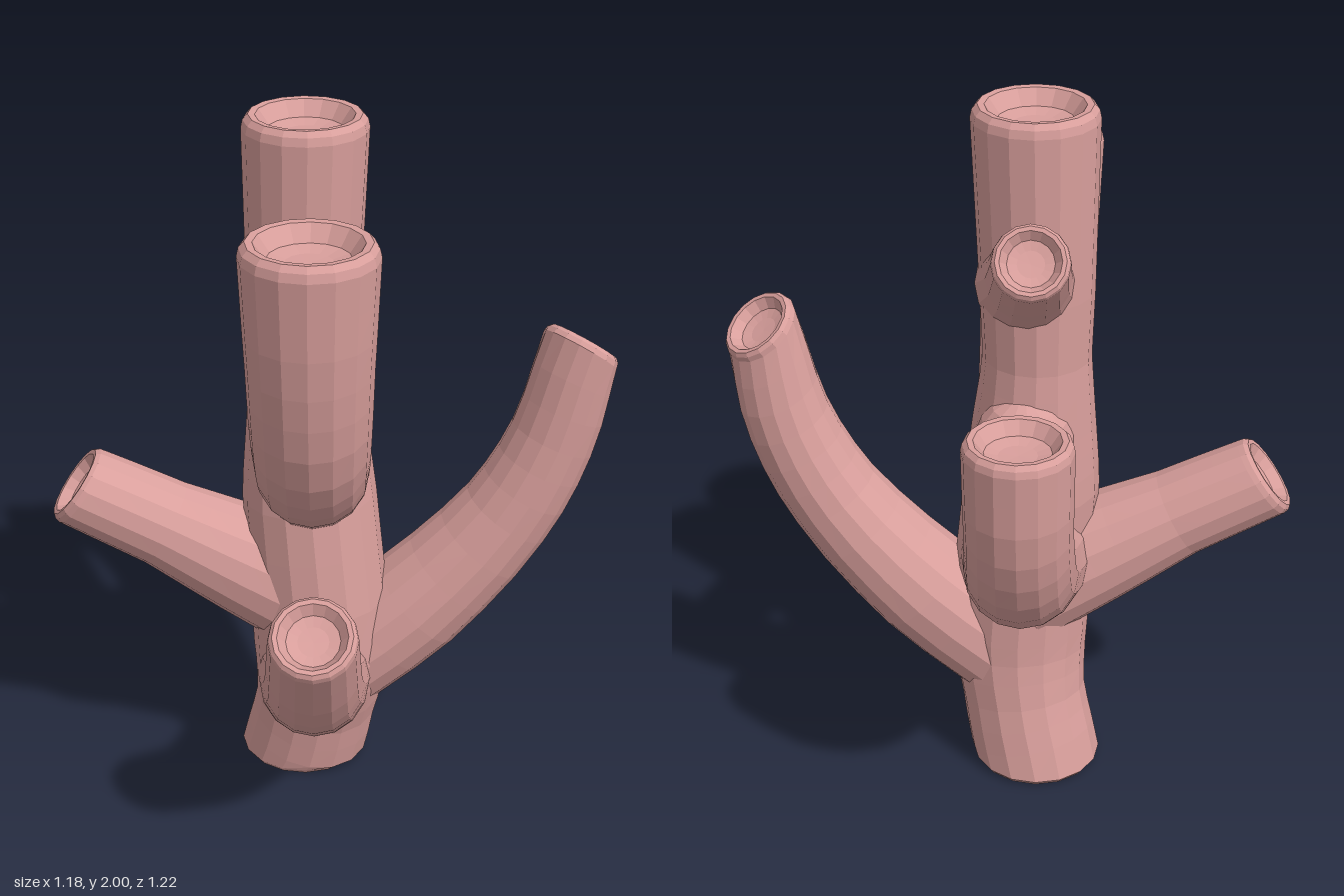
import * as THREE from 'three';

const SIDES = 16;
const UP = new THREE.Vector3(0, 1, 0);

// Faceted normals
function facet(geometry) {
  const g = geometry.toNonIndexed();
  g.computeVertexNormals();
  return g;
}

// Tapered tube through points with matching radii, ending in a rounded, cupped mouth.
// across: horizontal vector over the tube; mouth: direction the open end faces.
function tubeGeometry(points, radii, across, mouth, hasBase) {
  const spans = points.length - 1;
  const tip = points[spans].clone();
  const tipRadius = radii[spans];
  const lip = tipRadius * 0.22;
  points[spans].addScaledVector(mouth, -lip);
  const curve = new THREE.CatmullRomCurve3(points);

  const pos = [];
  const index = [];
  let rings = 0;
  const addRing = (centre, normal, radius) => {
    const u = across.clone().projectOnPlane(normal).normalize();
    const v = normal.clone().cross(u);
    for (let j = 0; j < SIDES; j++) {
      const a = (j / SIDES) * Math.PI * 2;
      const p = centre.clone()
        .addScaledVector(u, Math.cos(a) * radius)
        .addScaledVector(v, Math.sin(a) * radius);
      pos.push(p.x, p.y, p.z);
    }
    rings++;
  };

  // Body, with a small bevel under a standing base
  if (hasBase) addRing(points[0], UP, radii[0] * 0.94);
  const steps = spans * 3;
  for (let i = 0; i <= steps; i++) {
    const t = i / steps;
    const k = Math.min(Math.floor(t * spans), spans - 1);
    const radius = THREE.MathUtils.lerp(radii[k], radii[k + 1], t * spans - k);
    const normal = curve.getTangent(t).lerp(mouth, t ** 4).normalize();
    const centre = curve.getPoint(t);
    if (hasBase && i === 0) {
      normal.copy(UP);
      centre.y += 0.015;
    }
    addRing(centre, normal, radius);
  }

  // Rounded lip and cup: radius factor, depth below the mouth
  for (const [f, d] of [[0.97, 0.4], [0.89, 0], [0.78, 0.05], [0.69, 0.6], [0.6, 1.15], [0.35, 1.4]]) {
    addRing(tip.clone().addScaledVector(mouth, -d * lip), mouth, tipRadius * f);
  }

  for (let i = 0; i < rings - 1; i++) {
    for (let j = 0; j < SIDES; j++) {
      const a = i * SIDES + j, b = i * SIDES + ((j + 1) % SIDES);
      index.push(a, b, b + SIDES, a, b + SIDES, a + SIDES);
    }
  }

  // Cup floor and flat base
  const cap = (centre, start, flip) => {
    const c = pos.length / 3;
    pos.push(centre.x, centre.y, centre.z);
    for (let j = 0; j < SIDES; j++) {
      const a = start + j, b = start + ((j + 1) % SIDES);
      index.push(c, flip ? b : a, flip ? a : b);
    }
  };
  cap(tip.clone().addScaledVector(mouth, -1.45 * lip), (rings - 1) * SIDES, false);
  if (hasBase) cap(points[0], 0, true);

  const g = new THREE.BufferGeometry();
  g.setAttribute('position', new THREE.Float32BufferAttribute(pos, 3));
  g.setIndex(index);
  return facet(g);
}

export function createModel() {
  const group = new THREE.Group();
  group.name = 'coral';
  const coralPink = new THREE.MeshStandardMaterial({ color: 0xd99f9c });
  coralPink.name = 'coralPink';

  const add = (name, geometry) => {
    const mesh = new THREE.Mesh(geometry, coralPink);
    mesh.name = name;
    group.add(mesh);
    return mesh;
  };

  // Branch in a vertical plane from the trunk axis out to (tipX, tipZ).
  // Stations: fraction of the reach, height, radius. lean: sideways tilt of the mouth in x and z.
  const addBranch = (name, tipX, tipZ, stations, leanX = 0, leanZ = 0) => {
    const root = new THREE.Vector3(0.01, 0, -0.04);
    const reach = new THREE.Vector3(tipX, 0, tipZ).sub(root);
    const points = stations.map(([f, y]) => root.clone().addScaledVector(reach, f).setY(y));
    const across = UP.clone().cross(reach).normalize();
    const mouth = new THREE.Vector3(leanX, 1, leanZ).normalize();
    add(name, tubeGeometry(points, stations.map((s) => s[2]), across, mouth, false));
  };

  // Trunk: x, height, z, radius
  const trunk = [
    [0.03, 0, -0.105, 0.185], [0.03, 0.2, -0.05, 0.18], [0.01, 0.42, -0.01, 0.2],
    [0, 0.9, -0.05, 0.19], [0, 1.1, -0.06, 0.17], [0, 1.3, -0.07, 0.148], [0, 2, -0.06, 0.168],
  ];
  add('trunk', tubeGeometry(
    trunk.map(([x, y, z]) => new THREE.Vector3(x, y, z)),
    trunk.map((s) => s[3]), new THREE.Vector3(1, 0, 0), UP, true,
  ));

  // Low branches
  addBranch('frontLeftBranch', 0.51, 0.5,
    [[0, 0.3, 0.17], [0.4, 0.54, 0.16], [0.74, 0.83, 0.135], [0.9, 1.07, 0.122], [1, 1.36, 0.112]],
    0.77, 0.13);
  addBranch('frontRightBranch', -0.49, 0.42,
    [[0, 0.3, 0.17], [0.35, 0.41, 0.155], [0.66, 0.56, 0.133], [1, 0.845, 0.118]],
    -0.56, 0.44);

  // Middle branches
  addBranch('backRightBranch', -0.46, -0.525,
    [[0, 0.58, 0.19], [0.3, 0.68, 0.16], [0.63, 0.8, 0.128], [1, 0.935, 0.12]],
    -0.95, -0.95);
  addBranch('backLeftBranch', 0.42, -0.435,
    [[0, 0.66, 0.19], [0.42, 0.76, 0.165], [0.76, 0.88, 0.148], [0.95, 1.06, 0.14], [1, 1.34, 0.142]]);

  // High branches
  addBranch('upperRightBranch', -0.28, 0.215,
    [[0, 0.96, 0.15], [0.44, 1.05, 0.155], [0.77, 1.2, 0.16], [0.94, 1.45, 0.167], [1, 1.8, 0.18]]);
  addBranch('upperLeftTwig', 0.32, -0.375,
    [[0, 1.5, 0.14], [0.42, 1.6, 0.112], [1, 1.765, 0.098]],
    0.9, -0.9);

  // Rounded bud on the back left of the trunk
  const bud = add('bud', facet(new THREE.SphereGeometry(0.135, 14, 9)));
  bud.position.set(0.1, 1.09, -0.125);

  return group;
}
